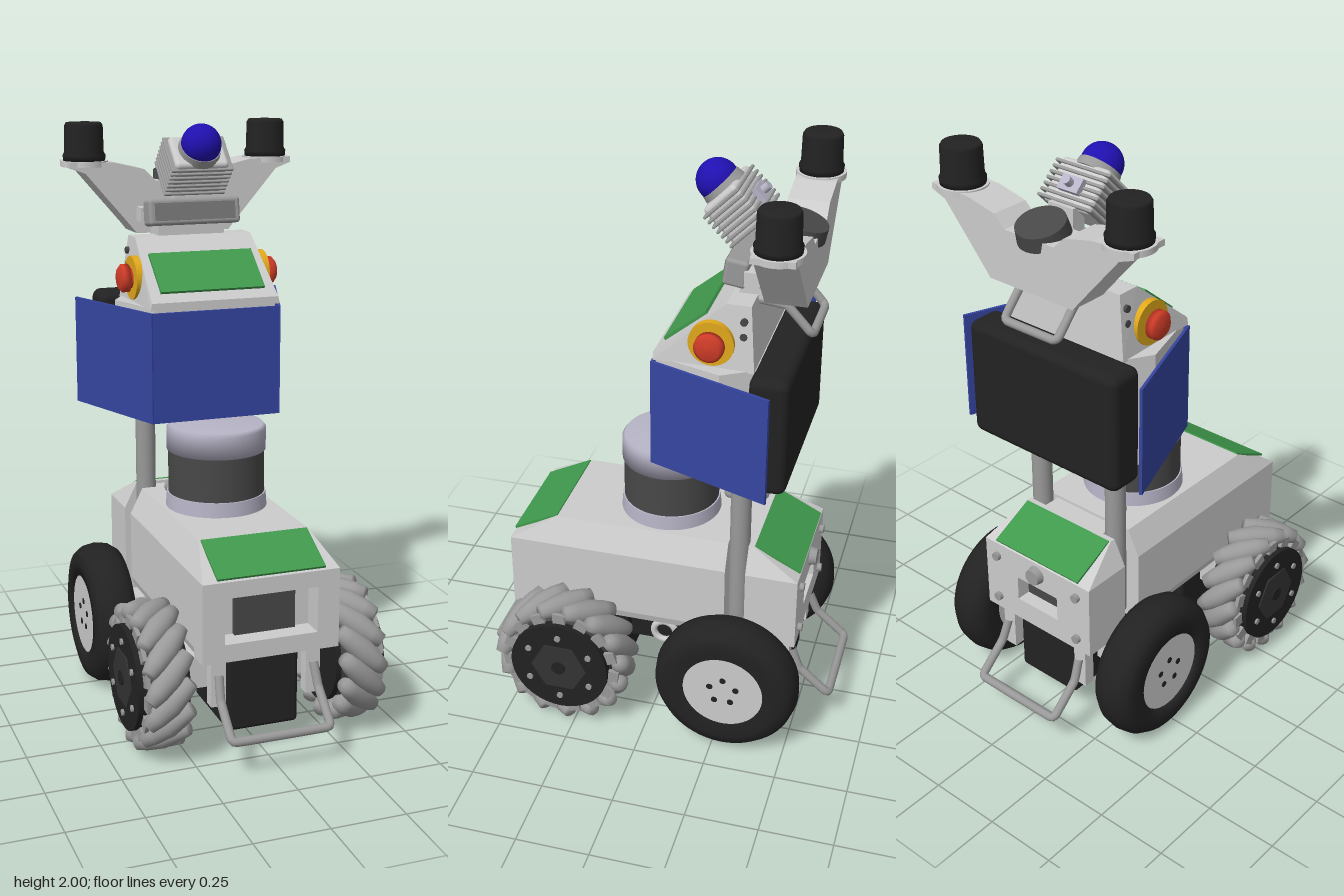
import * as THREE from 'three';
import { RoundedBoxGeometry } from 'three/addons/geometries/RoundedBoxGeometry.js';
import { ConvexGeometry } from 'three/addons/geometries/ConvexGeometry.js';

const GREY = 0xcccccc, MID = 0x999999, DARK = 0x222222, CHAR = 0x484848, GREEN = 0x40994c;
const BLUE = 0x3545a0, LENS = 0x2010b0, RED = 0xd03c28, YELLOW = 0xe0a81c, SILVER = 0xb6b4c6;
const SIDES = [-1, 1];
const mats = {};
const mat = (c) => (mats[c] ??= new THREE.MeshStandardMaterial({ color: c }));

function add(parent, name, geo, color, pos = [0, 0, 0], rot = [0, 0, 0]) {
  const m = new THREE.Mesh(geo, mat(color));
  m.name = name;
  m.position.set(...pos);
  m.rotation.set(...rot);
  parent.add(m);
  return m;
}
function group(parent, name, pos = [0, 0, 0], rot = [0, 0, 0]) {
  const g = new THREE.Group();
  g.name = name;
  g.position.set(...pos);
  g.rotation.set(...rot);
  parent.add(g);
  return g;
}
const box = (x, y, z) => new THREE.BoxGeometry(x, y, z);
const rbox = (x, y, z, r) => new RoundedBoxGeometry(x, y, z, 3, r);
const cyl = (r1, r2, h, n = 40) => new THREE.CylinderGeometry(r1, r2, h, n);
const cylX = (r, h, n = 40) => cyl(r, r, h, n).rotateZ(Math.PI / 2);
const lathe = (pts, n = 48) => new THREE.LatheGeometry(pts.map((p) => new THREE.Vector2(...p)), n);
// convex block, mirrored in x, from [halfWidth, y, z] corners
const hull = (pts) => new ConvexGeometry(pts.flatMap(([x, y, z]) => SIDES.map((s) => new THREE.Vector3(s * x, y, z))));
// bent bar, mirrored in x, from one half of its path
function bar(half, r) {
  const pts = [...half, ...half.slice().reverse().map(([x, y, z]) => [-x, y, z])].map((p) => new THREE.Vector3(...p));
  return new THREE.TubeGeometry(new THREE.CatmullRomCurve3(pts, false, 'catmullrom', 0.12), 80, r, 12);
}
// rectangular face plate with a window
function frame(w, y0, y1, ww, wy0, wy1, depth) {
  const s = new THREE.Shape([[-w, y0], [w, y0], [w, y1], [-w, y1]].map((p) => new THREE.Vector2(...p)));
  s.holes.push(new THREE.Path([[-ww, wy0], [-ww, wy1], [ww, wy1], [ww, wy0]].map((p) => new THREE.Vector2(...p))));
  return new THREE.ExtrudeGeometry(s, { depth, bevelEnabled: false });
}

function buildBody(root) {
  const g = group(root, 'body');
  add(g, 'frontShell', hull([[0.225, 0.36, 0.44], [0.235, 0.39, 0.44], [0.235, 0.63, 0.44],
    [0.225, 0.36, -0.25], [0.235, 0.39, -0.25], [0.235, 0.63, -0.25]]), GREY);
  add(g, 'frontRoof', hull([[0.235, 0.63, 0.52], [0.235, 0.63, -0.25], [0.19, 0.72, 0.36], [0.19, 0.72, -0.25]]), GREY);
  add(g, 'frontFrame', frame(0.235, 0.36, 0.63, 0.16, 0.42, 0.575, 0.08), GREY, [0, 0, 0.44]);
  add(g, 'frontSensor', box(0.21, 0.15, 0.02), CHAR, [0, 0.497, 0.45]);
  add(g, 'spine', box(0.26, 0.34, 0.1), GREY, [0, 0.54, -0.285]);
  add(g, 'rearShell', box(0.47, 0.27, 0.12), GREY, [0, 0.495, -0.38]);
  add(g, 'rearRoof', hull([[0.235, 0.63, -0.32], [0.235, 0.63, -0.5], [0.19, 0.72, -0.32], [0.19, 0.72, -0.34]]), GREY);
  add(g, 'rearFrame', frame(0.235, 0.36, 0.63, 0.09, 0.44, 0.53, 0.06), GREY, [0, 0, -0.5]);
  add(g, 'rearSocket', box(0.17, 0.05, 0.02), CHAR, [0, 0.47, -0.445]);
  add(g, 'rearKnob', cyl(0.028, 0.034, 0.03, 24), MID, [0, 0.585, -0.51], [-Math.PI / 2, 0, 0]);
  for (const s of SIDES) {
    for (const y of [0.41, 0.58]) add(g, 'rearBolt', cyl(0.015, 0.015, 0.02, 16), MID, [s * 0.18, y, -0.505], [Math.PI / 2, 0, 0]);
    add(g, 'post', cyl(0.035, 0.035, 0.95, 28), MID, [s * 0.165, 0.88, -0.285]);
    add(g, 'slopePanel', box(0.37, 0.008, 0.178), GREEN, [0, 0.68, s > 0 ? 0.44 : -0.42], [s * 0.464, 0, 0]);
  }
  add(g, 'cornerSensor', new THREE.SphereGeometry(0.025, 16, 12), MID, [-0.1, 0.735, -0.19]);
}

function buildChassis(root) {
  const g = group(root, 'chassis');
  add(g, 'frontMotorBox', rbox(0.25, 0.29, 0.32, 0.015), DARK, [0, 0.225, 0.29]);
  add(g, 'rearMotorBox', rbox(0.25, 0.26, 0.34, 0.015), DARK, [0, 0.24, -0.29]);
  add(g, 'middleBeam', box(0.16, 0.1, 0.26), DARK, [0, 0.22, 0]);
  add(g, 'pivot', new THREE.TorusGeometry(0.04, 0.012, 12, 28).rotateY(Math.PI / 2), GREY, [0.1, 0.225, 0]);
  add(g, 'pivot', new THREE.TorusGeometry(0.04, 0.012, 12, 28).rotateY(Math.PI / 2), GREY, [-0.1, 0.225, 0]);
  add(g, 'pivotHanger', box(0.2, 0.1, 0.06), GREY, [0, 0.33, 0]);
  for (const e of SIDES) {
    add(g, 'axleHousing', box(0.49, 0.11, 0.1), GREY, [0, 0.255, e * 0.29]);
    add(g, 'axle', cylX(0.035, 0.62, 20), MID, [0, 0.255, e * 0.29]);
    for (const s of SIDES) add(g, 'bumperBracket', box(0.05, 0.2, 0.04), GREY, [s * 0.165, 0.29, e * 0.455]);
    add(g, 'bumper', bar([[0.165, 0.3, e * 0.48], [0.17, 0.225, e * 0.51], [0.17, 0.14, e * 0.605],
      [0.155, 0.13, e * 0.618]], 0.015), MID);
  }
}

// wheel with barrel rollers set at 45 degrees
function buildRollerWheel(root, s) {
  const g = group(root, 'frontWheel', [s * 0.335, 0.255, 0.29]);
  const N = 15, L = 0.1;
  add(g, 'hubCore', cylX(0.165, 0.14), CHAR);
  add(g, 'outerCap', cylX(0.175, 0.03), DARK, [s * 0.08, 0, 0]);
  add(g, 'innerCap', cylX(0.175, 0.02), DARK, [-s * 0.07, 0, 0]);
  add(g, 'hexPlate', cylX(0.1, 0.01, 6), 0x333333, [s * 0.095, 0, 0]);
  add(g, 'hubNut', cylX(0.025, 0.015, 20), DARK, [s * 0.098, 0, 0]);
  const barrel = [[0, -L], [0.024, -L], [0.034, -0.06], [0.042, 0], [0.034, 0.06], [0.024, L], [0, L]];
  for (let i = 0; i < N; i++) {
    const a = (i / N) * Math.PI * 2;
    add(g, 'roller', lathe(barrel, 16).rotateX(Math.PI / 2).rotateY(s * Math.PI / 4).translate(0, 0.207, 0).rotateX(a), MID);
    add(g, 'rollerLug', box(0.014, 0.05, 0.045).translate(s * 0.07, 0.185, 0).rotateX(a), MID);
  }
  for (let i = 0; i < 6; i++) {
    add(g, 'hubBolt', cylX(0.011, 0.012, 12).translate(s * 0.096, 0.125, 0).rotateX(i * Math.PI / 3), MID);
  }
}

function buildTyreWheel(root, s) {
  const g = group(root, 'rearWheel', [s * 0.338, 0.255, -0.29]);
  const tyre = lathe([[0.14, -0.072], [0.19, -0.078], [0.225, -0.068], [0.245, -0.04], [0.252, 0],
    [0.245, 0.04], [0.225, 0.068], [0.19, 0.078], [0.14, 0.072], [0.14, -0.072]], 56).rotateZ(Math.PI / 2);
  add(g, 'tyre', tyre, DARK);
  add(g, 'hubDisc', cylX(0.141, 0.135), GREY);
  for (let i = 0; i < 5; i++) {
    add(g, 'hubHole', cylX(0.011, 0.006, 12).translate(s * 0.067, 0.048, 0).rotateX(i * Math.PI * 0.4), DARK);
  }
}

function buildConsole(root) {
  const g = group(root, 'console');
  add(g, 'lowerHousing', hull([1.02, 1.41].flatMap((y) => [[0.215, y, -0.005], [0.285, y, -0.23], [0.22, y, -0.34]])), GREY);
  add(g, 'upperHousing', hull([[0.23, 1.405, 0], [0.225, 1.43, 0], [0.21, 1.62, -0.23], [0.21, 1.62, -0.31], [0.24, 1.405, -0.33]]), GREY);
  add(g, 'touchPanel', box(0.37, 0.01, 0.175), GREEN, [0, 1.515, -0.094], [0.69, 0, 0]);
  add(g, 'rearCase', rbox(0.62, 0.41, 0.13, 0.03), DARK, [0, 1.215, -0.39]);
  add(g, 'frontPanel', box(0.45, 0.375, 0.01), BLUE, [0, 1.21, 0.003]);
  for (const s of SIDES) {
    const len = Math.hypot(0.15, 0.415);
    add(g, 'sidePanel', box(0.01, 0.375, len), BLUE, [s * 0.3, 1.21, -0.2], [0, -s * Math.atan2(0.15, 0.415), 0]);
    add(g, 'buttonCollar', cylX(0.074, 0.03), YELLOW, [s * 0.225, 1.49, -0.19]);
    add(g, 'buttonStem', cylX(0.035, 0.04), RED, [s * 0.245, 1.49, -0.19]);
    const knob = lathe([[0, 0.035], [0.035, 0.033], [0.048, 0.022], [0.048, 0], [0, 0]].reverse(), 32);
    add(g, 'stopButton', knob.rotateZ(-s * Math.PI / 2), RED, [s * 0.25, 1.49, -0.19]);
    for (let i = 0; i < 3; i++) add(g, 'sideScrew', cylX(0.012, 0.02, 12), CHAR, [s * 0.217, 1.47 + i * 0.05, -0.29]);
  }
  add(g, 'handle', bar([[0.1, 1.6, -0.28], [0.11, 1.59, -0.4], [0.11, 1.51, -0.475], [0.095, 1.5, -0.485]], 0.014), MID);
}

function buildMast(root) {
  const g = group(root, 'sensorMast');
  // winged bracket carrying the two antennas
  const half = [[0.1, 1.8], [0.14, 1.84], [0.25, 1.865], [0.405, 1.87], [0.405, 1.85], [0.35, 1.83], [0.19, 1.645], [0.17, 1.62]];
  const outline = [...half, ...half.slice().reverse().map(([x, y]) => [-x, y])].map((p) => new THREE.Vector2(...p));
  add(g, 'wingBracket', new THREE.ExtrudeGeometry(new THREE.Shape(outline), { depth: 0.135, bevelEnabled: false }), GREY, [0, 0, -0.475]);
  add(g, 'neck', box(0.24, 0.11, 0.1), GREY, [0, 1.66, -0.3]);
  add(g, 'satelliteDisc', cyl(0.08, 0.085, 0.05), CHAR, [0, 1.81, -0.415], [-0.3, 0, 0]);
  const puck = [[0, 0], [0.072, 0], [0.074, 0.02], [0.068, 0.03], [0.066, 0.12], [0.06, 0.13], [0, 0.13]];
  for (const s of SIDES) {
    add(g, 'wingPad', cyl(0.082, 0.082, 0.02), GREY, [s * 0.335, 1.86, -0.41]);
    add(g, 'antenna', lathe(puck, 40), DARK, [s * 0.335, 1.869, -0.41]);
    add(g, 'bracketBolt', cylX(0.018, 0.02, 16), CHAR, [s * 0.235, 1.79, -0.41]);
    add(g, 'cameraClamp', box(0.05, 0.05, 0.05), GREY, [s * 0.15, 1.69, -0.3]);
  }
  // wide depth camera
  const d = group(g, 'depthCamera', [0, 1.7, -0.245], [-0.15, 0, 0]);
  add(d, 'cameraCase', rbox(0.33, 0.09, 0.075, 0.012), MID);
  add(d, 'cameraFace', box(0.29, 0.06, 0.01), 0x777777, [0, 0, 0.036]);
  // finned camera with dome lens, pointing up and forward
  add(g, 'cameraArm', box(0.1, 0.18, 0.05), GREY, [0, 1.77, -0.31]);
  const c = group(g, 'domeCamera', [0, 1.86, -0.22], [-Math.PI / 4, 0, 0]);
  add(c, 'cameraBlock', rbox(0.19, 0.135, 0.15, 0.015), GREY);
  for (let i = 0; i < 7; i++) add(c, 'coolingFin', rbox(0.22, 0.15, 0.01, 0.004), MID, [0, 0, -0.066 + i * 0.02]);
  add(c, 'lensRing', cyl(0.07, 0.075, 0.03), MID, [0, 0, 0.08], [Math.PI / 2, 0, 0]);
  add(c, 'domeLens', new THREE.SphereGeometry(0.068, 40, 28), LENS, [0, 0, 0.105]);
  add(c, 'plugPlate', box(0.08, 0.02, 0.05), SILVER, [0, 0.08, -0.01]);
  add(c, 'plug', cyl(0.014, 0.014, 0.04, 16), SILVER, [0, 0.095, -0.01]);
}

export function createModel() {
  const root = new THREE.Group();
  root.name = 'mobileRobot';
  buildBody(root);
  buildChassis(root);
  for (const s of SIDES) {
    buildRollerWheel(root, s);
    buildTyreWheel(root, s);
  }
  // spinning scanner on the deck
  const scan = group(root, 'scanner');
  add(scan, 'scannerBase', cyl(0.17, 0.175, 0.06, 56), SILVER, [0, 0.74, 0]);
  add(scan, 'scannerWindow', cyl(0.165, 0.165, 0.16, 56), CHAR, [0, 0.845, 0]);
  add(scan, 'scannerCap', lathe([[0, 0.92], [0.17, 0.92], [0.17, 0.995], [0.16, 1.008], [0, 1.01]], 56), SILVER);
  buildConsole(root);
  buildMast(root);
  return root;
}
